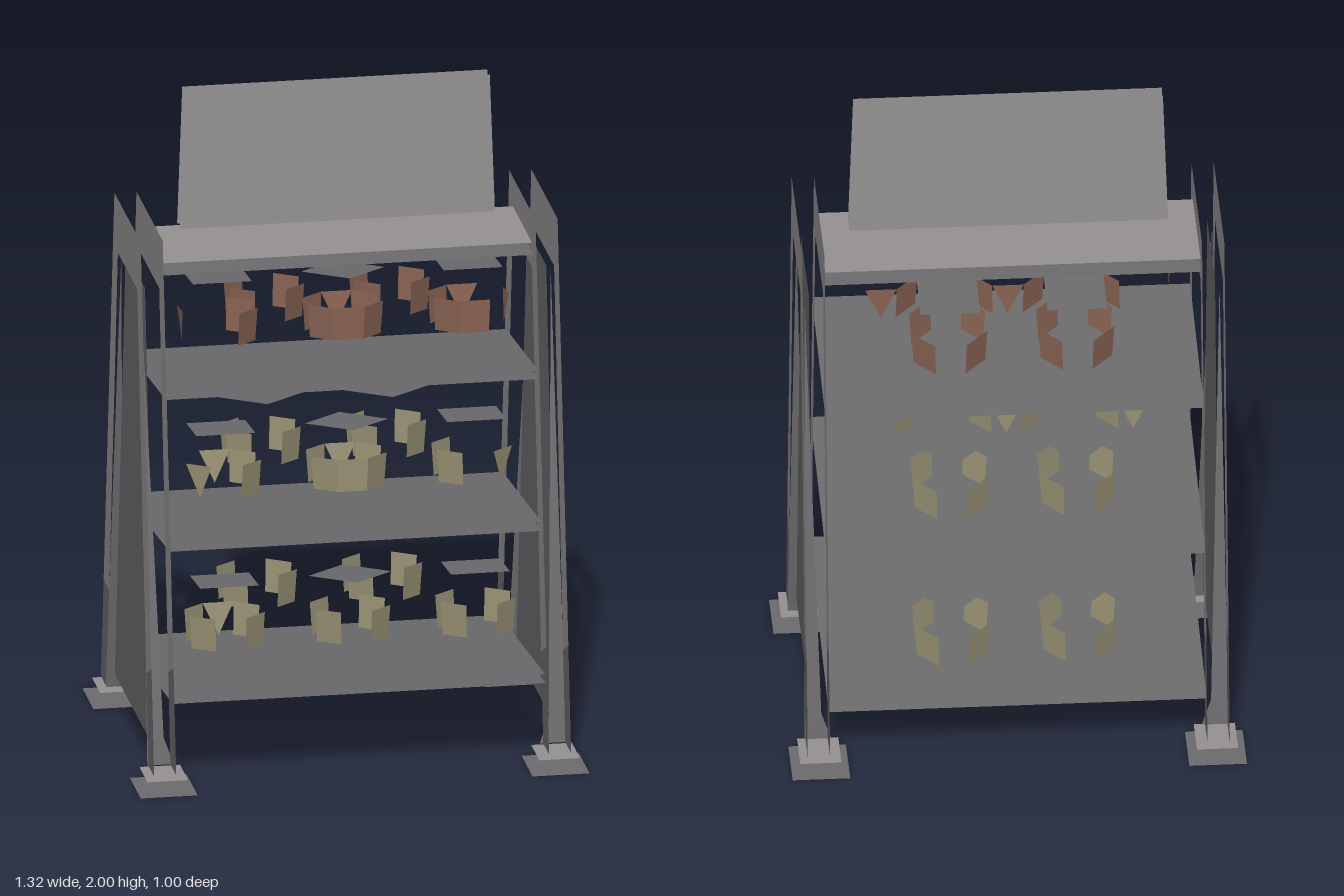
import * as THREE from 'three';

const mat = (name, color) => {
  const m = new THREE.MeshStandardMaterial({ color, side: THREE.DoubleSide });
  m.name = name;
  return m;
};

// Flat sheet through a loop of corners, fanned from the first
function sheet(name, pts, material) {
  const pos = [];
  for (let i = 1; i < pts.length - 1; i++) pos.push(...pts[0], ...pts[i], ...pts[i + 1]);
  const g = new THREE.BufferGeometry();
  g.setAttribute('position', new THREE.Float32BufferAttribute(pos, 3));
  g.computeVertexNormals();
  const mesh = new THREE.Mesh(g, material);
  mesh.name = name;
  return mesh;
}

export function createModel() {
  const model = new THREE.Group();
  model.name = 'displayRack';
  const light = mat('light grey', 0x969294);
  const dark = mat('dark grey', 0x6c6b6d);
  const tan = mat('tan', 0x9c9577);
  const brown = mat('brown', 0x8c6555);
  const SLOPE = 0.109;

  // Rectangle facing up, with an optional rise toward the front
  const level = (name, x0, x1, y, z0, z1, material, slope = 0) => sheet(name, [
    [x0, y + slope * z0, z0], [x0, y + slope * z1, z1],
    [x1, y + slope * z1, z1], [x1, y + slope * z0, z0]], material);

  // One jar: separate facets of an eight-sided wall under a loose square lid, sheared to the shelf slope
  const R = 0.12, rLow = 0.113, low = 0.115, high = 0.215;
  function jar(x, z, y, material, { quads = [1, 3, 5, 7], tris = [], diamond = false }) {
    const g = new THREE.Group();
    g.name = 'jar';
    g.position.set(x, y, z);
    const at = (k, r, h) => {
      const a = k * Math.PI / 4, dz = r * Math.cos(a);
      return [r * Math.sin(a), h + SLOPE * dz, dz];
    };
    for (const k of quads) {
      g.add(sheet('jarFacet', [at(k - 0.5, rLow, low), at(k + 0.5, rLow, low),
        at(k + 0.5, R, high), at(k - 0.5, R, high)], material));
    }
    for (const k of tris) {
      g.add(sheet('jarShard', [at(k, rLow * 0.924, low), at(k + 0.5, R, high), at(k - 0.5, R, high)], material));
    }
    const turn = diamond ? 0 : 1;
    g.add(sheet('jarLid', [0, 2, 4, 6].map(k => at(k + turn, 0.123, 0.307)), dark));
    model.add(g);
  }

  // Three shelves, each an upper and a lower skin, rising toward the front
  const D = { diamond: true };
  const shelves = [
    { y: 0.232, depth: 0.4, front: 0.24, back: -0.285, material: tan,
      left: {}, right: { tris: [4] }, centre: D, rear: D },
    { y: 0.686, depth: 0.34, front: 0.175, back: -0.22, material: tan,
      left: { quads: [5, 7], tris: [1] }, right: { quads: [1, 3], tris: [7, 4] },
      centre: { quads: [0, 1, 3, 5, 7], tris: [4], diamond: true }, rear: D },
    { y: 1.139, depth: 0.28, front: 0.115, back: -0.16, material: brown,
      left: { quads: [0, 5, 7], tris: [2, 4] }, right: { quads: [1, 3], tris: [6] },
      centre: { quads: [0, 1, 3, 5, 7], tris: [4], diamond: true }, rear: {} },
  ];
  for (const s of shelves) {
    model.add(level('shelfTop', -0.55, 0.55, s.y, -s.depth, s.depth - 0.005, dark, SLOPE));
    model.add(level('shelfUnderside', -0.55, 0.55, s.y - 0.025, -s.depth + 0.005, s.depth, dark, SLOPE));
    const put = (x, z, kind) => jar(x, z, s.y + SLOPE * z, s.material, kind);
    put(0.37, s.front, s.left);
    put(-0.37, s.front, s.right);
    put(0, s.front, s.centre);
    for (const x of [-0.185, 0.185]) put(x, s.back, s.rear);
  }

  // Top board
  model.add(level('topBoard', -0.55, 0.55, 1.525, -0.165, 0.165, light));
  model.add(level('topBoardUnderside', -0.55, 0.55, 1.495, -0.187, 0.187, dark));

  // Two-faced header sign, each face with a slightly raised plate
  for (const s of [1, -1]) {
    model.add(sheet('signBack', [[-0.465, 1.58], [0.465, 1.58], [0.45, 2], [-0.45, 2]]
      .map(p => [...p, 0.022 * s]), light));
    model.add(sheet('signFace', [[-0.46, 1.58], [0.46, 1.58], [0.41, 1.97], [-0.41, 1.97]]
      .map(p => [...p, 0.028 * s]), light));
  }

  // A-shaped side frames, infill panels and feet
  const outer = y => 0.225 + (1.615 - y) * 0.147;
  const inner = y => 0.165 + (1.45 - y) * 0.136;
  for (const sx of [1, -1]) {
    for (const x of [0.55, 0.615].map(v => v * sx)) {
      model.add(sheet('frameHead', [[x, 1.45, inner(1.45)], [x, 1.45, -inner(1.45)], [x, 1.45, -outer(1.45)],
        [x, 1.615, -0.225], [x, 1.615, 0.225], [x, 1.45, outer(1.45)]], light));
      for (const sz of [1, -1]) {
        // Leg is light above a break and dark below it
        const yo = 0.365, yi = sz > 0 ? 0.32 : 0.36;
        const a = [x, yo, sz * outer(yo)], b = [x, yi, sz * inner(yi)];
        model.add(sheet('legUpper', [[x, 1.45, sz * inner(1.45)], [x, 1.45, sz * outer(1.45)], a, b], light));
        model.add(sheet('legLower', [b, a, [x, 0.05, sz * outer(0.05)], [x, 0.05, sz * inner(0.05)]], dark));
      }
    }
    const px = 0.592 * sx;
    model.add(sheet('sidePanel', [[px, 0.09, inner(0.09)], [px, 0.09, -inner(0.09)],
      [px, 1.452, -0.165], [px, 1.452, 0.165]], dark));

    for (const sz of [1, -1]) {
      // Tapered return along the inner edge of the leg, flaring at the foot
      model.add(sheet('legReturn', [[0.568 * sx, 0.13, sz * 0.345], [0.605 * sx, 1.44, sz * 0.166],
        [0.618 * sx, 0.05, sz * 0.355], [0.54 * sx, 0.05, sz * 0.355]], dark));
      const cx = 0.578 * sx, cz = 0.405 * sz;
      model.add(level('footBase', cx - 0.084, cx + 0.084, 0, cz - 0.094, cz + 0.094, dark));
      model.add(level('footTop', cx - 0.06, cx + 0.06, 0.04, cz - 0.07, cz + 0.07, light));
    }
  }
  return model;
}
